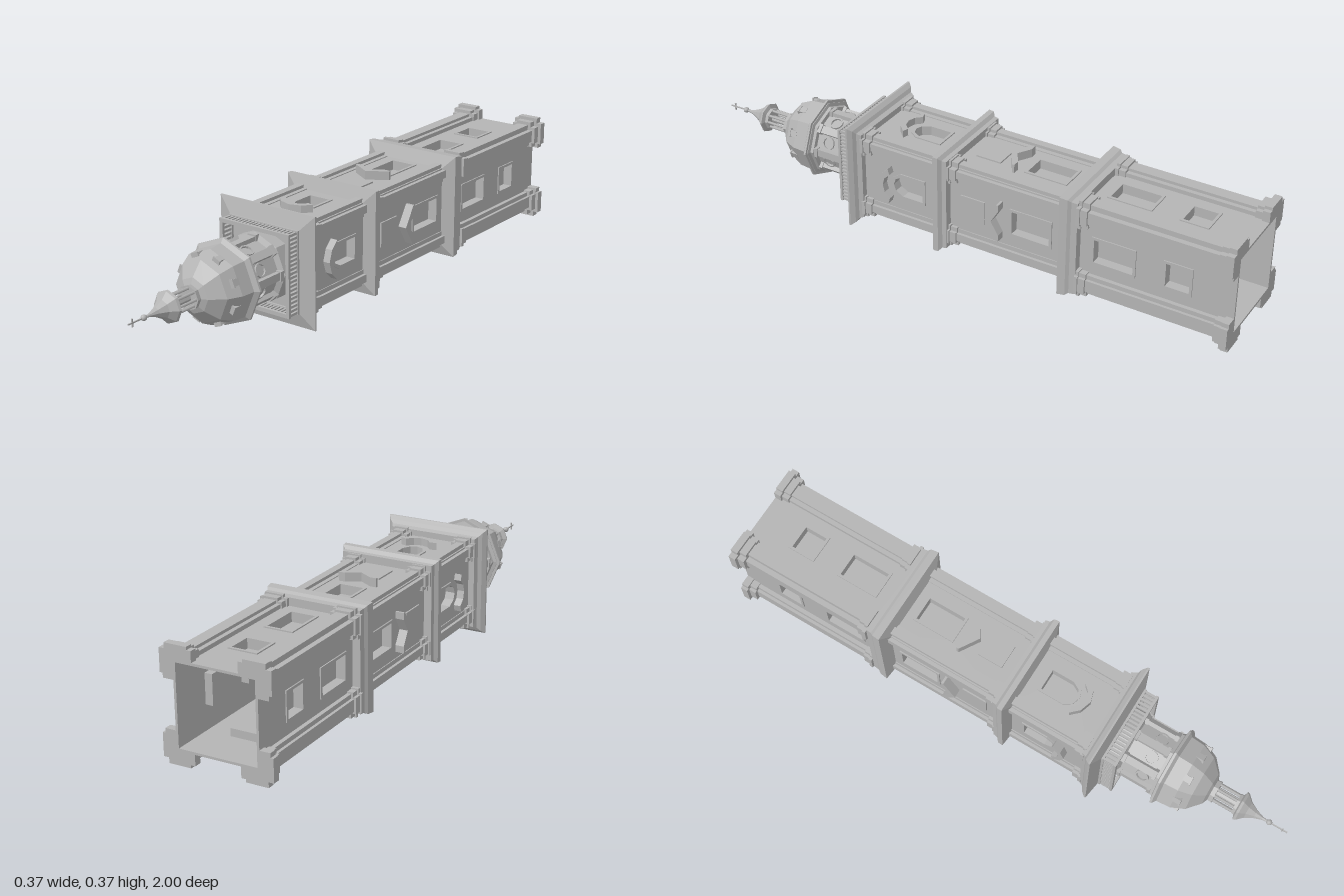
import * as THREE from 'three';

const stone = new THREE.MeshStandardMaterial({ color: 0xb4b4b4 });
stone.name = 'stone';

function add(parent, geo, name, x = 0, y = 0, z = 0) {
  const m = new THREE.Mesh(geo, stone);
  m.name = name;
  m.position.set(x, y, z);
  parent.add(m);
  return m;
}
const box = (w, h, d) => new THREE.BoxGeometry(w, h, d);
const shapeOf = pts => new THREE.Shape(pts.map(p => new THREE.Vector2(p[0], p[1])));
const extrude = (shape, depth) => new THREE.ExtrudeGeometry(shape, { depth, bevelEnabled: false, curveSegments: 6 });

// Faceted ring; for four sides the profile holds half-widths, otherwise corner radii
function faceted(profile, sides) {
  const k = sides === 4 ? Math.SQRT2 : 1;
  let g = new THREE.LatheGeometry(profile.map(p => new THREE.Vector2(p[0] * k, p[1])), sides);
  if (sides === 4) g.rotateY(Math.PI / 4);
  g = g.toNonIndexed();
  g.computeVertexNormals();
  return g;
}

// Four identical sides around the tower axis
function fourSides(parent, name, build) {
  for (let i = 0; i < 4; i++) {
    const side = new THREE.Group();
    side.name = name;
    side.rotation.y = i * Math.PI / 2;
    build(side);
    parent.add(side);
  }
}

const rect = (hw, y0, y1) => [[-hw, y0], [hw, y0], [hw, y1], [-hw, y1]];
const arched = (hw, y0, y1) => [[-hw, y0], [hw, y0], [hw, y1 - 0.035], [hw * 0.6, y1 - 0.008], [0, y1], [-hw * 0.6, y1 - 0.008], [-hw, y1 - 0.035]];

// Notched, stepped corner plan
function cornerPlan(o, inner, back) {
  const a = o - 0.01, n = o - 0.018, s = inner + 0.015;
  return shapeOf([[inner, back], [inner, a], [s, a], [s, o], [n, o], [n, n], [o, n], [o, s], [a, s], [a, inner], [back, inner], [back, back]]);
}
function cornerBlock(parent, name, o, inner, back, y0, y1) {
  const g = extrude(cornerPlan(o, inner, back), y1 - y0);
  g.rotateX(-Math.PI / 2);
  add(parent, g, name, 0, y0, 0);
}

// One storey: pierced walls, framed window recesses, corner pilasters with caps
function storey(tower, name, y0, y1, wall, outer, windows, extras) {
  fourSides(tower, name, side => {
    const wallShape = shapeOf(rect(wall, y0, y1));
    for (const w of windows) {
      const out = w.make(w.hw, w.y0, w.y1);
      wallShape.holes.push(new THREE.Path(out.map(p => new THREE.Vector2(p[0], p[1]))));
      const frame = shapeOf(w.make(w.hw + 0.004, w.y0 - 0.004, w.y1 + 0.004));
      frame.holes.push(new THREE.Path(w.make(w.hw - 0.005, w.y0 + 0.005, w.y1 - 0.005).map(p => new THREE.Vector2(p[0], p[1]))));
      add(side, extrude(frame, 0.038), 'windowFrame', 0, 0, wall - 0.034);
      add(side, extrude(shapeOf(out), 0.005), 'windowPane', 0, 0, wall - 0.034);
    }
    add(side, extrude(wallShape, 0.008), 'wall', 0, 0, wall - 0.008);
    if (extras) extras(side, wall);
    const back = wall - 0.006;
    cornerBlock(side, 'cornerPilaster', outer, 0.09, back, y0, y1);
    cornerBlock(side, 'pilasterCap', outer + 0.007, 0.085, back, y1 - 0.035, y1 - 0.012);
    cornerBlock(side, 'pilasterCapTop', outer + 0.012, 0.08, back, y1 - 0.012, y1);
  });
}

export function createModel() {
  const model = new THREE.Group();
  model.name = 'bellTower';
  const tower = new THREE.Group();
  tower.name = 'tower';
  tower.rotation.x = Math.PI / 2;   // tower lies with its spire towards +z
  tower.position.y = 0.187;
  model.add(tower);

  // Lower storey and its stepped feet
  storey(tower, 'lowerStorey', -1, -0.475, 0.141, 0.165, [
    { make: rect, hw: 0.046, y0: -0.665, y1: -0.52 },
    { make: rect, hw: 0.046, y0: -0.855, y1: -0.765 }]);
  fourSides(tower, 'foot', side => {
    cornerBlock(side, 'footLower', 0.187, 0.078, 0.135, -1, -0.975);
    cornerBlock(side, 'footUpper', 0.176, 0.085, 0.135, -0.975, -0.95);
  });

  // Middle storey with triangular pediment and square panel
  storey(tower, 'middleStorey', -0.42, 0.005, 0.137, 0.15, [
    { make: rect, hw: 0.046, y0: -0.37, y1: -0.225 }], (side, wall) => {
    const chevron = shapeOf([[-0.068, -0.195], [-0.045, -0.195], [0, -0.168], [0.045, -0.195], [0.068, -0.195], [0.068, -0.187], [0, -0.145], [-0.068, -0.187]]);
    add(side, extrude(chevron, 0.03), 'pediment', 0, 0, wall);
    add(side, box(0.085, 0.09, 0.006), 'squarePanel', 0, -0.085, wall + 0.002);
  });

  // Upper storey with arched window and curved pediment
  storey(tower, 'upperStorey', 0.04, 0.335, 0.137, 0.15, [
    { make: arched, hw: 0.042, y0: 0.1, y1: 0.222 }], (side, wall) => {
    const crescent = shapeOf([[-0.066, 0.226], [-0.045, 0.22], [-0.026, 0.24], [0, 0.247], [0.026, 0.24], [0.045, 0.22], [0.066, 0.226], [0.04, 0.253], [0, 0.266], [-0.04, 0.253]]);
    add(side, extrude(crescent, 0.025), 'curvedPediment', 0, 0, wall);
  });

  // Flared cornices between storeys
  add(tower, faceted([[0.133, -0.476], [0.168, -0.476], [0.17, -0.455], [0.177, -0.445], [0.18, -0.418], [0.133, -0.4], [0.133, -0.476]], 4), 'lowerCornice');
  add(tower, faceted([[0.13, 0], [0.164, 0], [0.166, 0.015], [0.177, 0.025], [0.178, 0.043], [0.13, 0.058], [0.13, 0]], 4), 'middleCornice');
  add(tower, faceted([[0.13, 0.33], [0.158, 0.33], [0.164, 0.345], [0.176, 0.352], [0.187, 0.366], [0.187, 0.372], [0.137, 0.387], [0, 0.387]], 4), 'upperCornice');

  // Balustrade
  fourSides(tower, 'balustrade', side => {
    add(side, box(0.274, 0.008, 0.013), 'bottomRail', 0, 0.391, 0.1305);
    add(side, box(0.274, 0.009, 0.013), 'topRail', 0, 0.435, 0.1305);
    for (let i = 0; i < 20; i++) add(side, box(0.0075, 0.04, 0.008), 'baluster', -0.1305 + i * 0.261 / 19, 0.413, 0.1305);
  });

  // Octagonal drum with corner piers and round windows
  add(tower, faceted([[0.118, 0.385], [0.118, 0.432], [0.1, 0.44], [0.1, 0.56], [0.118, 0.56], [0.12, 0.57], [0.132, 0.573], [0.132, 0.58]], 8), 'drum');
  const ring = new THREE.Shape().absarc(0, 0, 0.023, 0, Math.PI * 2, false);
  ring.holes.push(new THREE.Path().absarc(0, 0, 0.018, 0, Math.PI * 2, true));
  for (let i = 0; i < 8; i++) {
    const pier = new THREE.Group();
    pier.name = 'drumPier';
    pier.rotation.y = i * Math.PI / 4;
    add(pier, box(0.026, 0.13, 0.022), 'pierShaft', 0, 0.495, 0.098);
    add(pier, box(0.032, 0.012, 0.028), 'pierCap', 0, 0.553, 0.1);
    add(pier, box(0.032, 0.016, 0.028), 'pierBase', 0, 0.44, 0.1);
    tower.add(pier);

    const face = new THREE.Group();
    face.name = 'octagonFace';
    face.rotation.y = (i + 0.5) * Math.PI / 4;
    add(face, extrude(ring, 0.008), 'roundWindow', 0, 0.515, 0.091);
    add(face, box(0.022, 0.024, 0.022), 'dormer', 0, 0.648, 0.104);
    add(face, box(0.028, 0.005, 0.026), 'dormerRoof', 0, 0.662, 0.104);
    tower.add(face);
  }

  // Faceted dome
  add(tower, faceted([[0.11, 0.575], [0.142, 0.575], [0.142, 0.582], [0.127, 0.592], [0.123, 0.64], [0.102, 0.685], [0.058, 0.722], [0.038, 0.73], [0.04, 0.745], [0, 0.745]], 8), 'dome');

  // Open lantern
  for (let i = 0; i < 8; i++) {
    const a = i * Math.PI / 4;
    const g = new THREE.CylinderGeometry(0.005, 0.005, 0.08, 6);
    add(tower, g, 'lanternColumn', Math.sin(a) * 0.03, 0.782, Math.cos(a) * 0.03);
  }
  add(tower, faceted([[0, 0.745], [0.012, 0.745], [0.012, 0.82]], 8), 'lanternCore');

  // Concave spire, ball and cross
  add(tower, faceted([[0, 0.815], [0.036, 0.815], [0.038, 0.825], [0.053, 0.83], [0.05, 0.838], [0.03, 0.858], [0.015, 0.885], [0.006, 0.91], [0.003, 0.935], [0, 0.935]], 8), 'spire');
  add(tower, new THREE.SphereGeometry(0.01, 10, 8), 'ball', 0, 0.935, 0);
  add(tower, box(0.004, 0.065, 0.004), 'crossPost', 0, 0.9675, 0);
  add(tower, box(0.004, 0.004, 0.026), 'crossArm', 0, 0.983, 0);
  return model;
}
